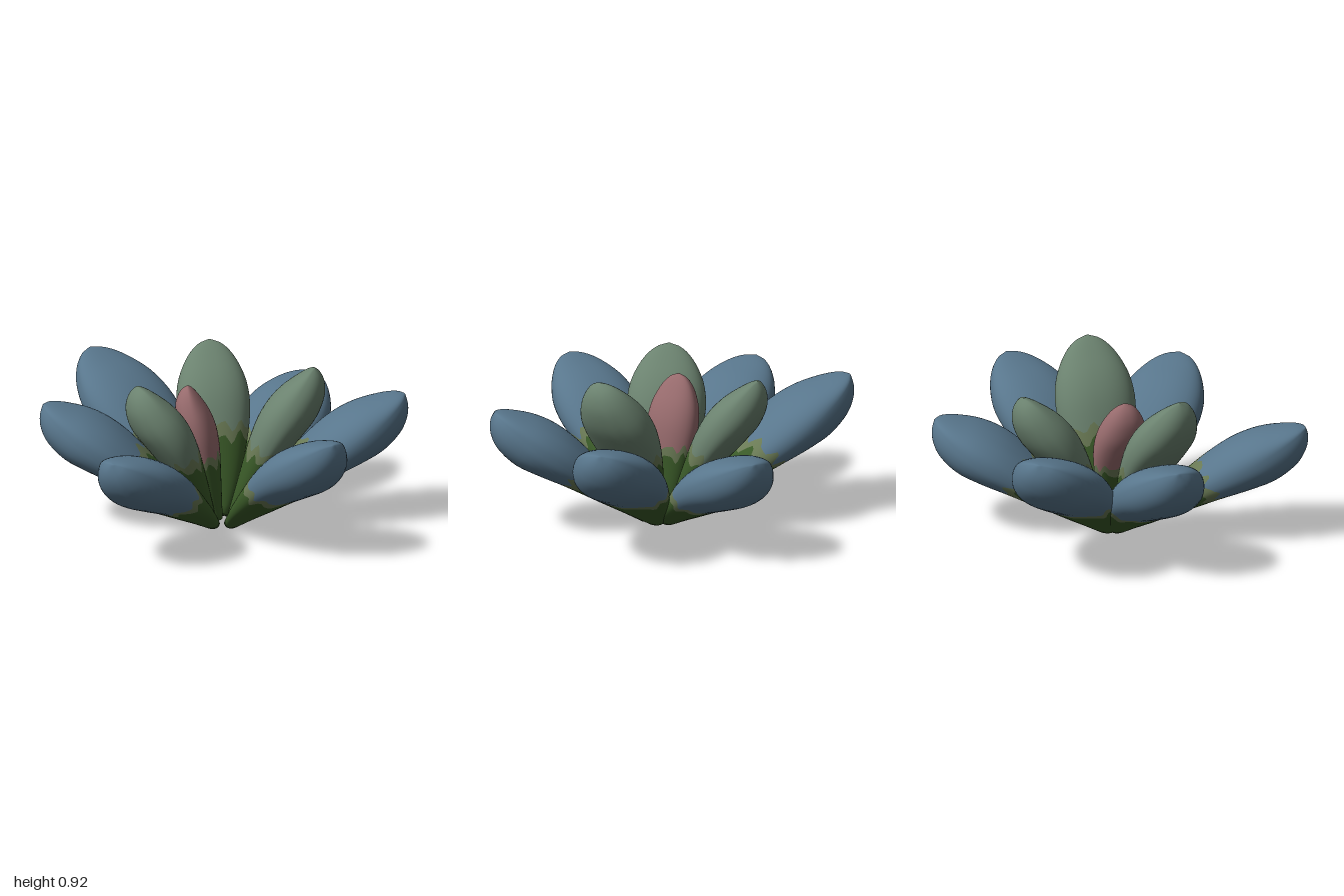
import * as THREE from 'three';

const material = (name, color) =>
  Object.assign(new THREE.MeshStandardMaterial({ color }), { name });

// Profiles along the leaf (0 = root, 1 = tip), as fractions of the largest size
const spread = [
  [0, 0.22], [0.1, 0.42], [0.2, 0.59], [0.35, 0.79], [0.5, 0.94], [0.63, 1],
  [0.75, 0.94], [0.85, 0.77], [0.93, 0.54], [0.98, 0.28], [1, 0.03],
];
// The underside stays full almost to the tip
const belly = [
  [0, 0.2], [0.12, 0.3], [0.26, 0.44], [0.48, 0.66], [0.65, 0.89], [0.76, 1],
  [0.88, 0.88], [0.95, 0.6], [0.985, 0.3], [1, 0.03],
];
const back = [
  [0, 0.2], [0.15, 0.42], [0.3, 0.64], [0.5, 0.92], [0.65, 1], [0.78, 0.85],
  [0.9, 0.5], [0.97, 0.22], [1, 0.03],
];

// Smooth curve through the points of a profile
function profileAt(points, t) {
  let i = 0;
  while (i < points.length - 2 && t > points[i + 1][0]) i++;
  const [t0, w0] = points[i], [t1, w1] = points[i + 1];
  const slope = (k) => {
    const a = points[Math.max(k - 1, 0)], b = points[Math.min(k + 1, points.length - 1)];
    return (b[1] - a[1]) / (b[0] - a[0]);
  };
  const h = t1 - t0, u = (t - t0) / h, u2 = u * u, u3 = u2 * u;
  return (2 * u3 - 3 * u2 + 1) * w0 + (u3 - 2 * u2 + u) * h * slope(i)
    + (3 * u2 - 2 * u3) * w1 + (u3 - u2) * h * slope(i + 1);
}

const SIDES = 56;
// Slightly squared oval
const full = (v) => Math.sign(v) * Math.abs(v) ** 0.92;

// A fleshy leaf: oval cross-sections swept from root to tip, in three jagged colour bands
function leafGeometry({ root, tip, width, above, below, phase }) {
  const axis = tip.clone().sub(root);
  const dir = axis.clone().normalize();
  const side = new THREE.Vector3().crossVectors(dir, new THREE.Vector3(0, 1, 0)).normalize();
  const normal = new THREE.Vector3().crossVectors(side, dir);

  // Band edges vary around the leaf so the colours meet in teeth
  const edges = (a) => {
    const tooth = Math.sin(9 * a + phase) + 0.5 * Math.sin(14 * a + 2 * phase);
    const end = 0.5 - 0.02 * Math.sin(a) + 0.024 * tooth;
    return [0, end - 0.065 - 0.012 * Math.sin(5 * a + phase), end, 1];
  };
  const rows = [];
  [9, 3, 18].forEach((count, band) => {
    for (let k = 0; k < count; k++) rows.push([band, k / count]);
  });
  rows.push([2, 1]);

  const position = [], index = [];
  const p = new THREE.Vector3();
  rows.forEach(([band, f]) => {
    // Ease the last band so rings gather at the rounded tip
    const g = band === 2 ? Math.sin(f * Math.PI / 2) : f;
    for (let j = 0; j < SIDES; j++) {
      const a = (j / SIDES) * Math.PI * 2, s = Math.sin(a);
      const e = edges(a);
      const t = e[band] + (e[band + 1] - e[band]) * g;
      const depth = s > 0 ? profileAt(back, t) * above : profileAt(belly, t) * below;
      p.copy(root).addScaledVector(axis, t)
        .addScaledVector(side, full(Math.cos(a)) * profileAt(spread, t) * width)
        .addScaledVector(normal, full(s) * depth);
      position.push(p.x, p.y, p.z);
    }
  });
  const last = rows.length - 1;
  position.push(...root.toArray(), ...tip.toArray());
  const rootId = rows.length * SIDES, tipId = rootId + 1;

  // One group per colour band, closed at both ends
  const geometry = new THREE.BufferGeometry();
  let start = 0;
  for (let band = 0; band < 3; band++) {
    for (let j = 0; j < SIDES; j++) {
      const k = (j + 1) % SIDES;
      for (let i = 0; i < last; i++) {
        if (rows[i][0] !== band) continue;
        const a = i * SIDES + j, b = i * SIDES + k;
        index.push(a, a + SIDES, b, b, a + SIDES, b + SIDES);
      }
      if (band === 0) index.push(rootId, j, k);
      if (band === 2) index.push(last * SIDES + j, tipId, last * SIDES + k);
    }
    geometry.addGroup(start, index.length - start, band);
    start = index.length;
  }
  geometry.setAttribute('position', new THREE.Float32BufferAttribute(position, 3));
  geometry.setIndex(index);
  geometry.computeVertexNormals();
  return geometry;
}

export function createModel() {
  const group = new THREE.Group();
  group.name = 'succulent';
  const green = material('deepGreen', 0x3a5a28);
  const olive = material('oliveEdge', 0x6a7a55);
  const blue = material('dustyBlue', 0x58768c);
  const sage = material('sageGreen', 0x6b826f);
  const pink = material('dustyPink', 0x966a6c);

  // name, tip, half-width, thickness above and below, root distance, colour
  const leaves = [
    ['outerLeafLeft', [0.985, 0.69, -0.085], 0.245, 0.14, 0.165, 0.09, blue],
    ['outerLeafFrontLeft', [0.535, 0.68, 0.74], 0.24, 0.14, 0.165, 0.09, blue],
    ['outerLeafFrontRight', [-0.67, 0.635, 0.835], 0.235, 0.14, 0.165, 0.09, blue],
    ['outerLeafRight', [-0.975, 0.66, -0.135], 0.25, 0.14, 0.165, 0.09, blue],
    ['outerLeafBackRight', [-0.67, 0.745, -0.83], 0.265, 0.14, 0.165, 0.09, blue],
    ['outerLeafBackLeft', [0.525, 0.595, -0.795], 0.255, 0.14, 0.165, 0.09, blue],
    ['innerLeafLeft', [0.48, 0.92, 0.13], 0.22, 0.145, 0.135, 0.06, sage],
    ['innerLeafRight', [-0.48, 0.845, 0.16], 0.215, 0.135, 0.135, 0.06, sage],
    ['innerLeafBack', [-0.04, 0.865, -0.565], 0.2, 0.135, 0.13, 0.06, sage],
    ['centreBud', [-0.2, 0.785, -0.025], 0.15, 0.1, 0.1, 0.01, pink],
  ];
  const centre = new THREE.Vector3(-0.02, 0.03, 0);
  leaves.forEach(([name, tipAt, width, above, below, reach, color], i) => {
    const tip = new THREE.Vector3(...tipAt);
    const root = tip.clone().sub(centre).setY(0).setLength(reach).add(centre);
    const geometry = leafGeometry({ root, tip, width, above, below, phase: i * 1.7 });
    const leaf = new THREE.Mesh(geometry, [green, olive, color]);
    leaf.name = name;
    group.add(leaf);
  });
  return group;
}
